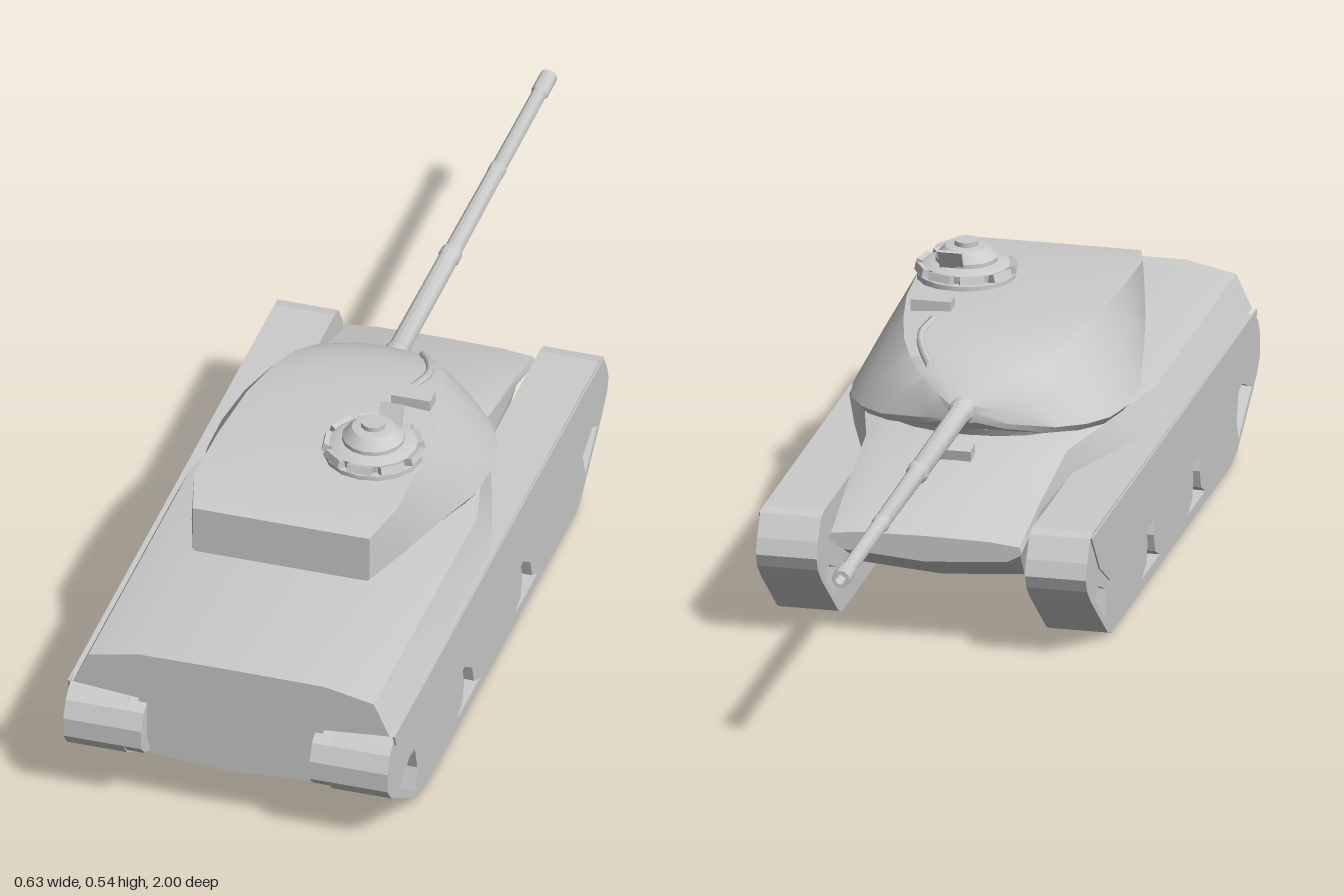
import * as THREE from 'three';
import { toCreasedNormals, mergeVertices } from 'three/addons/utils/BufferGeometryUtils.js';

const material = new THREE.MeshStandardMaterial({ color: 0xcccccc });

function add(parent, name, geometry, x = 0, y = 0, z = 0) {
  const mesh = new THREE.Mesh(geometry, material);
  mesh.name = name;
  mesh.position.set(x, y, z);
  parent.add(mesh);
  return mesh;
}

// Skin over symmetric cross-sections [z, half outline from bottom centre to top centre], rear to front
function loft(sections, crease) {
  const pos = [], idx = [];
  const rings = sections.map(([z, half]) => {
    const mirrored = half.slice(1, -1).reverse().map(([x, y]) => [-x, y]);
    return half.concat(mirrored).map(([x, y]) => [x, y, z]);
  });
  const n = rings[0].length;
  rings.forEach(r => r.forEach(p => pos.push(...p)));
  for (let i = 0; i < rings.length - 1; i++) {
    for (let j = 0; j < n; j++) {
      const a = i * n + j, b = i * n + (j + 1) % n;
      idx.push(a, a + n, b, b, a + n, b + n);
    }
  }
  // End caps fan out from the middle of each end section
  [0, rings.length - 1].forEach((r, end) => {
    const half = sections[r][1];
    const c = pos.length / 3;
    pos.push(0, (half[0][1] + half[half.length - 1][1]) / 2, sections[r][0]);
    for (let j = 0; j < n; j++) {
      const a = r * n + j, b = r * n + (j + 1) % n;
      idx.push(c, end ? b : a, end ? a : b);
    }
  });
  const g = new THREE.BufferGeometry();
  g.setAttribute('position', new THREE.Float32BufferAttribute(pos, 3));
  g.setIndex(idx);
  return toCreasedNormals(mergeVertices(g), crease);
}

// Side profile in (z, y), extruded across x from x0 to x1
function sidePlate(points, x0, x1, holes = []) {
  const toVectors = pts => pts.map(([z, y]) => new THREE.Vector2(z, y));
  const shape = new THREE.Shape(toVectors(points));
  holes.forEach(h => shape.holes.push(new THREE.Path(toVectors(h))));
  const g = new THREE.ExtrudeGeometry(shape, { depth: x1 - x0, bevelEnabled: false });
  return g.rotateY(-Math.PI / 2).translate(x1, 0, 0);
}

function lathe(points, segments) {
  const g = new THREE.LatheGeometry(points.map(p => new THREE.Vector2(...p)), segments);
  return toCreasedNormals(g, 0.5);
}

function buildHull(group) {
  const section = (bottom, ledge, ledgeY, edge, edgeY, flat, flatY, topY) => [
    [0, bottom], [0.155, bottom + 0.012], [0.18, ledgeY - 0.004],
    [ledge, ledgeY], [edge, edgeY], [flat, flatY], [0, topY]];
  add(group, 'hull', loft([
    [0.965, section(0.1, 0.305, 0.24, 0.275, 0.305, 0.18, 0.325, 0.326)],
    [0.33, section(0.1, 0.305, 0.24, 0.275, 0.305, 0.18, 0.318, 0.32)],
    [0.18, section(0.1, 0.26, 0.24, 0.24, 0.3, 0.17, 0.314, 0.316)],
    [-0.01, section(0.1, 0.195, 0.24, 0.19, 0.29, 0.15, 0.303, 0.307)],
    [-0.2, section(0.1, 0.185, 0.235, 0.183, 0.25, 0.12, 0.262, 0.265)],
    [-0.335, section(0.17, 0.182, 0.2, 0.178, 0.212, 0.12, 0.218, 0.22)],
  ], 0.35));
  const periscope = add(group, 'driverPeriscope', new THREE.BoxGeometry(0.06, 0.025, 0.035), 0, 0.298, -0.085);
  periscope.rotation.x = -0.2;
}

function buildTracks(group) {
  const outline = [
    [0.76, 0], [0.82, 0.012], [0.975, 0.11], [1, 0.14], [1, 0.178], [0.985, 0.21], [0.96, 0.23], [0.93, 0.24],
    [-0.31, 0.245], [-0.335, 0.24], [-0.36, 0.2], [-0.37, 0.17], [-0.36, 0.145], [-0.33, 0.115],
    [-0.2, 0.012], [-0.17, 0]];
  // Gaps between the wheels
  const gap = z => [[z + 0.07, 0.022], [z + 0.035, 0.04], [z + 0.025, 0.075], [z + 0.035, 0.112],
    [z - 0.035, 0.112], [z - 0.025, 0.075], [z - 0.035, 0.04], [z - 0.07, 0.022]];
  const holes = [gap(0.5), gap(0.14),
    [[0.935, 0.1], [0.83, 0.032], [0.815, 0.075], [0.83, 0.125], [0.86, 0.13]],
    [[-0.21, 0.1], [-0.225, 0.05], [-0.3, 0.108], [-0.27, 0.125]]];
  const skirt = [[0.965, 0.24], [0.955, 0.215], [0.73, 0.115], [-0.19, 0.11], [-0.27, 0.16], [-0.335, 0.24]];
  const housing = [[0.6, 0.115], [0.975, 0.115], [1, 0.14], [1, 0.178], [0.985, 0.21], [0.93, 0.239], [0.6, 0.239]];
  for (const [side, s] of [['left', 1], ['right', -1]]) {
    const plate = (name, pts, a, b, h) =>
      add(group, side + name, sidePlate(pts, Math.min(s * a, s * b), Math.max(s * a, s * b), h));
    plate('Track', outline, 0.197, 0.312, holes);
    plate('Skirt', skirt, 0.311, 0.315);
    plate('DriveHousing', housing, 0.162, 0.198);
  }
}

function buildTurret(group) {
  const section = (under, bx, by, wx, wy, sx, sy, top) => [
    [0, under], [bx, by], [wx, wy],
    [wx + (sx - wx) * 0.45, wy + (sy - wy) * 0.53], [sx, sy], [sx * 0.6, sy + (top - sy) * 0.8], [0, top]];
  add(group, 'turretBody', loft([
    [0.655, section(0.356, 0.165, 0.356, 0.17, 0.36, 0.17, 0.45, 0.45)],
    [0.565, section(0.352, 0.175, 0.353, 0.2, 0.36, 0.195, 0.463, 0.465)],
    [0.42, section(0.335, 0.205, 0.335, 0.232, 0.347, 0.193, 0.463, 0.466)],
    [0.28, section(0.305, 0.245, 0.308, 0.258, 0.325, 0.183, 0.462, 0.466)],
    [0.18, section(0.305, 0.25, 0.308, 0.261, 0.32, 0.165, 0.458, 0.465)],
    [0.1, section(0.305, 0.233, 0.308, 0.245, 0.322, 0.145, 0.445, 0.455)],
    [0.045, section(0.308, 0.2, 0.312, 0.213, 0.325, 0.12, 0.428, 0.44)],
    [0, section(0.312, 0.15, 0.318, 0.165, 0.33, 0.085, 0.408, 0.418)],
    [-0.03, section(0.325, 0.075, 0.33, 0.085, 0.34, 0.05, 0.388, 0.395)],
    [-0.05, section(0.342, 0.028, 0.345, 0.032, 0.35, 0.022, 0.376, 0.38)],
  ], 0.5));
  const ring = new THREE.CylinderGeometry(0.255, 0.24, 0.03, 28);
  add(group, 'turretRing', ring, 0, 0.306, 0.235);

  // Roof fittings: sight box and the raised casting lip in front of it
  add(group, 'gunnerSight', new THREE.BoxGeometry(0.075, 0.025, 0.035), 0.12, 0.47, 0.222);
  const lip = new THREE.CatmullRomCurve3([
    [0.075, 0.425, 0.015], [0.1, 0.44, 0.06], [0.115, 0.451, 0.11], [0.105, 0.46, 0.17]]
    .map(p => new THREE.Vector3(...p)));
  add(group, 'castingLip', new THREE.TubeGeometry(lip, 10, 0.008, 6));
}

function buildGun(group) {
  // Barrel profile [radius, distance toward the muzzle]
  const profile = [[0, 0], [0.026, 0], [0.024, 0.06], [0.02, 0.07], [0.019, 0.38], [0.021, 0.385], [0.021, 0.4],
    [0.017, 0.405], [0.0155, 0.67], [0.0165, 0.675], [0.0165, 0.69], [0.0145, 0.695], [0.014, 0.945],
    [0.017, 0.95], [0.017, 1], [0.01, 1], [0.01, 0.96], [0, 0.96]];
  const gun = add(group, 'gunBarrel', lathe(profile, 14), 0, 0.365, 0);
  gun.rotation.x = -Math.PI / 2;
}

function buildCupola(group) {
  const cupola = new THREE.Group();
  cupola.name = 'cupola';
  cupola.position.set(0.1, 0.46, 0.405);
  group.add(cupola);
  add(cupola, 'cupolaBase', lathe([[0, 0], [0.092, 0], [0.092, 0.014], [0.08, 0.015], [0.082, 0.03],
    [0.065, 0.037], [0, 0.037]], 16));
  add(cupola, 'cupolaDome', lathe([[0.058, 0.035], [0.058, 0.045], [0.04, 0.064], [0.025, 0.066], [0, 0.066]], 16));
  add(cupola, 'hatchCap', new THREE.CylinderGeometry(0.023, 0.023, 0.012, 12), 0, 0.069, 0);
  // Vision blocks around the rim
  const count = 9;
  for (let i = 0; i < count; i++) {
    const a = i / count * Math.PI * 2;
    const block = add(cupola, 'visionBlock', new THREE.BoxGeometry(0.046, 0.015, 0.02),
      Math.sin(a) * 0.082, 0.023, Math.cos(a) * 0.082);
    block.rotation.set(-0.3, a, 0, 'YXZ');
  }
  const flap = add(cupola, 'sightFlap', new THREE.BoxGeometry(0.045, 0.045, 0.006), 0.015, 0.053, -0.06);
  flap.rotation.x = -0.45;
}

export function createModel() {
  const model = new THREE.Group();
  model.name = 'tank';
  const hull = new THREE.Group(), turret = new THREE.Group();
  hull.name = 'chassis';
  turret.name = 'turret';
  model.add(hull, turret);
  buildHull(hull);
  buildTracks(hull);
  buildTurret(turret);
  buildGun(turret);
  buildCupola(turret);
  return model;
}
